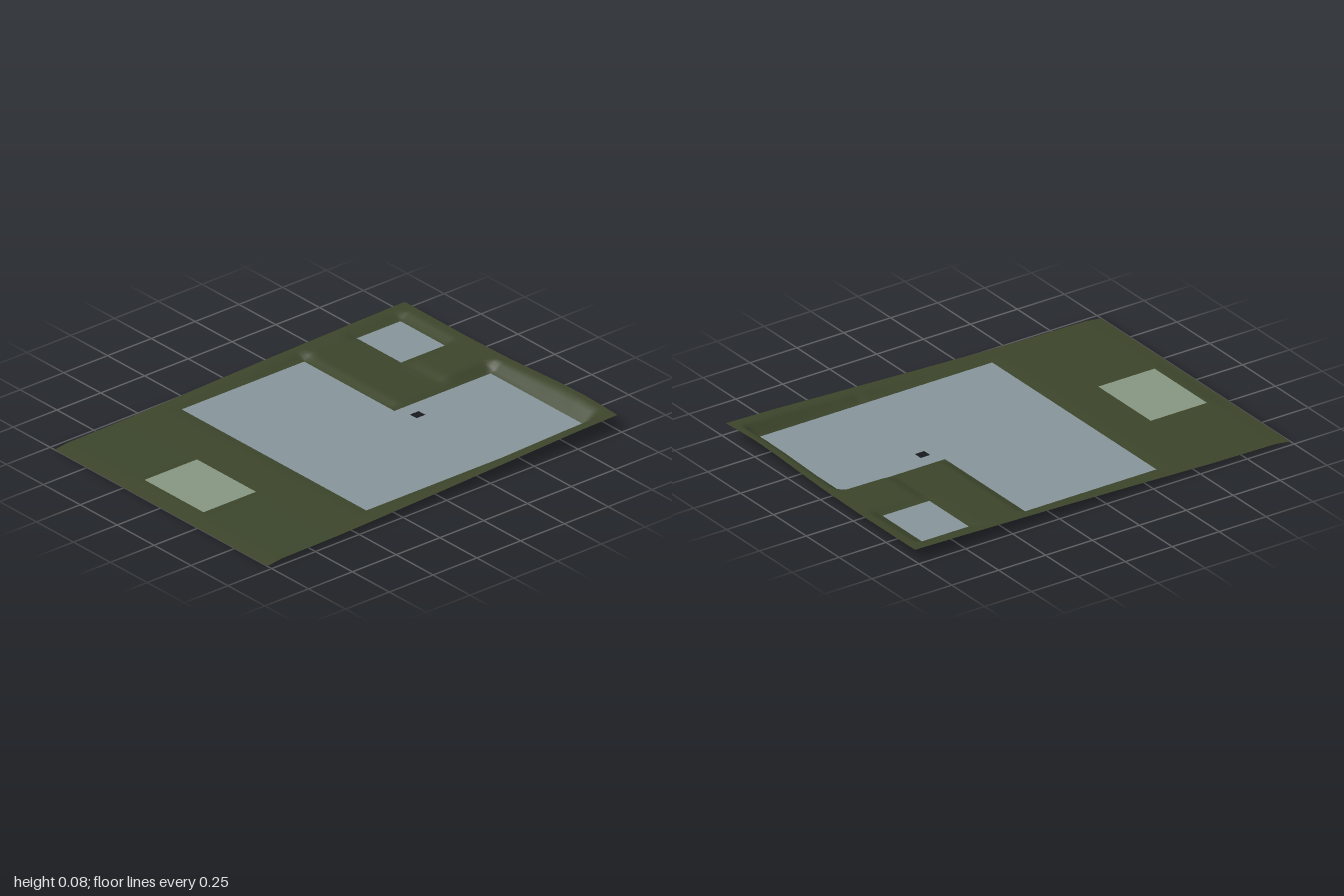
import * as THREE from 'three';

const material = (name, color) => {
  const m = new THREE.MeshStandardMaterial({ color, side: THREE.DoubleSide });
  m.name = name;
  return m;
};

// Level areas cut into the slope: [x0, x1, z0, z1], height, width of the bank around them
const areas = [
  { rect: [-0.58, -0.09, -0.63, -0.42], y: 0.032, bank: 0.08 }, // grass terrace
  { name: 'smallPad', rect: [-0.63, -0.33, -0.9, -0.65], y: 0.03, bank: 0.06 },
  { name: 'mainPad', rect: [-0.02, 0.62, -0.9, -0.35], y: 0.016, bank: 0.06 },
  { name: 'mainPad', rect: [-0.63, 0.62, -0.35, 0.35], y: 0.016, bank: 0.06 },
  { name: 'lawnPad', rect: [-0.23, 0.17, 0.6, 0.9], y: 0.013, bank: 0.06 },
];
const hole = [0.05, 0.095, -0.43, -0.38];

const inside = ([x0, x1, z0, z1], x, z) => x > x0 && x < x1 && z > z0 && z < z1;
const distance = ([x0, x1, z0, z1], x, z) =>
  Math.hypot(Math.max(x0 - x, 0, x - x1), Math.max(z0 - z, 0, z - z1));

// Linear interpolation through [position, value] pairs
function along(points, t) {
  let i = 1;
  while (i < points.length - 1 && t > points[i][0]) i++;
  const [a, va] = points[i - 1], [b, vb] = points[i];
  return THREE.MathUtils.mapLinear(t, a, b, va, vb);
}
const slope = [[-1, 0.08], [-0.75, 0.073], [-0.5, 0.06], [0, 0.036], [0.35, 0.022],
  [0.6, 0.014], [0.92, 0.01], [1, 0]];
const ridge = [[-0.72, 0.7], [-0.3, 0.68], [0, 0.75], [0.2, 0.88], [0.35, 0.98],
  [0.5, 1.02], [0.6, 0.98], [0.72, 0.91]];

// Ground height: natural slope, then blended into each level area
function height(x, z) {
  const back = 1 - THREE.MathUtils.smoothstep(z, -0.9, 0.5);
  let y = along(slope, z) * (1 + (along(ridge, x) - 1) * back);
  for (const a of areas) {
    const w = 1 - THREE.MathUtils.smoothstep(distance(a.rect, x, z), 0, a.bank);
    y += (a.y - y) * w;
  }
  return y;
}

// Grid lines, with extra ones exactly on the pad and hole edges
function gridLines(min, max, step, edges) {
  const lines = [...edges];
  const n = Math.round((max - min) / step);
  for (let i = 0; i <= n; i++) {
    const v = min + ((max - min) * i) / n;
    if (i === 0 || i === n || edges.every((e) => Math.abs(e - v) > step * 0.3)) lines.push(v);
  }
  return [...new Set(lines)].sort((a, b) => a - b);
}

// Sheet made from all grid cells whose area name matches
function sheet(name, xs, zs, mat) {
  const positions = [], index = [], ids = new Map();
  const vertex = (i, j) => {
    const key = i * 1000 + j;
    if (!ids.has(key)) {
      ids.set(key, positions.length / 3);
      positions.push(xs[i], height(xs[i], zs[j]), zs[j]);
    }
    return ids.get(key);
  };
  for (let i = 0; i < xs.length - 1; i++) {
    for (let j = 0; j < zs.length - 1; j++) {
      const x = (xs[i] + xs[i + 1]) / 2, z = (zs[j] + zs[j + 1]) / 2;
      const pad = areas.find((a) => a.name && inside(a.rect, x, z));
      if ((pad ? pad.name : 'grassSlope') !== name || inside(hole, x, z)) continue;
      const a = vertex(i, j), b = vertex(i, j + 1), c = vertex(i + 1, j + 1), d = vertex(i + 1, j);
      index.push(a, b, d, b, c, d);
    }
  }
  const geometry = new THREE.BufferGeometry();
  geometry.setAttribute('position', new THREE.Float32BufferAttribute(positions, 3));
  geometry.setIndex(index);
  geometry.computeVertexNormals();
  const mesh = new THREE.Mesh(geometry, mat);
  mesh.name = name;
  return mesh;
}

export function createModel() {
  const grass = material('grass', 0x3c452b);
  const paving = material('paving', 0x87949b);
  const lawn = material('pale lawn', 0x869782);

  const pads = [...areas.filter((a) => a.name).map((a) => a.rect), hole];
  const xs = gridLines(-0.72, 0.72, 0.02, pads.flatMap((r) => [r[0], r[1]]));
  const zs = gridLines(-1, 1, 0.02, pads.flatMap((r) => [r[2], r[3]]));

  const group = new THREE.Group();
  group.name = 'terrain';
  group.add(
    sheet('grassSlope', xs, zs, grass),
    sheet('mainPad', xs, zs, paving),
    sheet('smallPad', xs, zs, paving),
    sheet('lawnPad', xs, zs, lawn),
  );
  return group;
}
